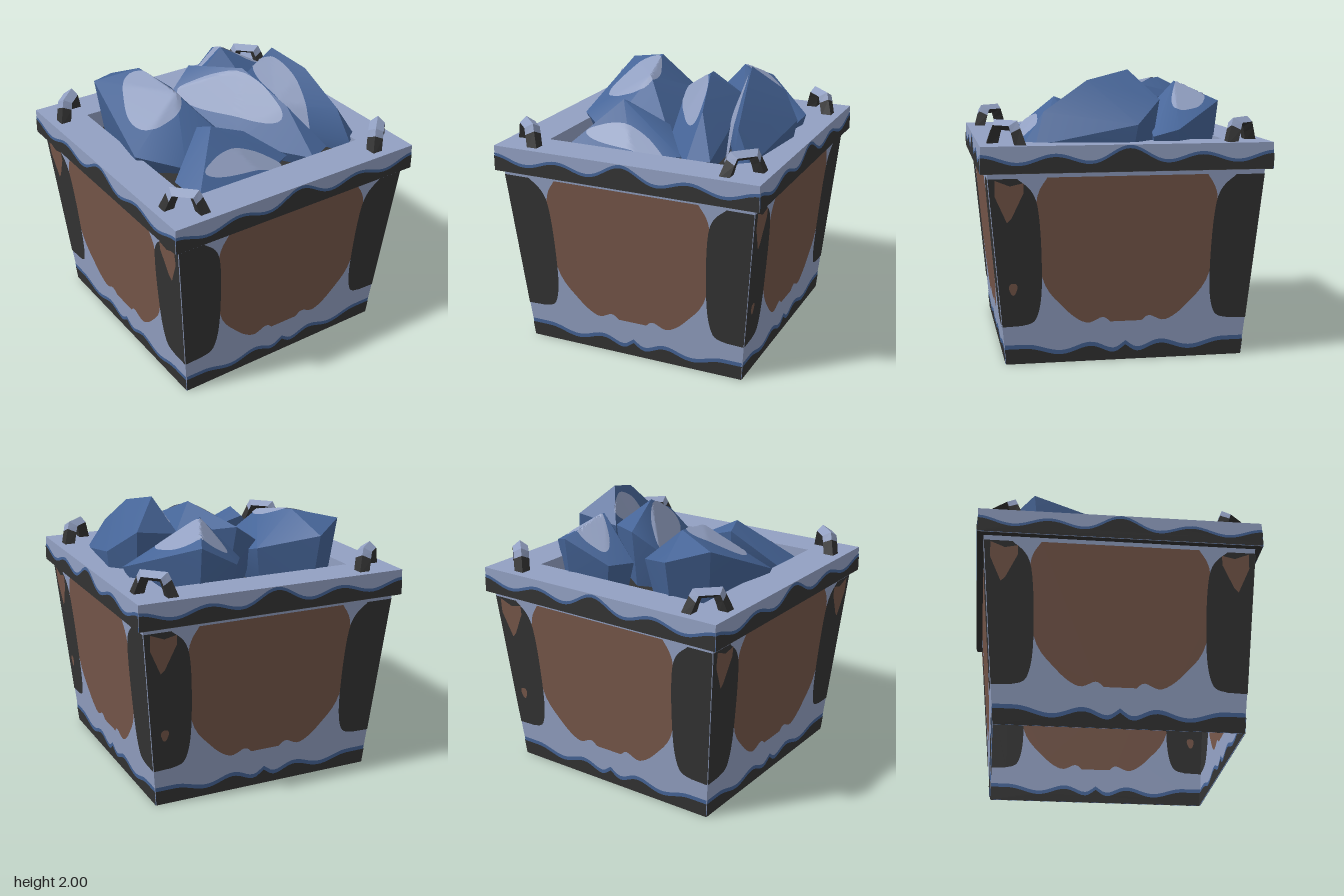
import * as THREE from 'three';
import { toCreasedNormals } from 'three/addons/utils/BufferGeometryUtils.js';
import { ConvexGeometry } from 'three/addons/geometries/ConvexGeometry.js';

const paint = (name, color) => new THREE.MeshStandardMaterial({ name, color, side: THREE.DoubleSide });
const paleBlue = paint('paleBlue', 0x92a0c2);
const blue = paint('blue', 0x466598);
const dark = paint('darkIron', 0x333333);
const rust = paint('rustBrown', 0x76574a);

const RIM = 0.995, HOLE = 0.71, RIM_LOW = 1.34, RIM_TOP = 1.52;
const wallHalf = (y) => 0.83 + 0.0896 * y; // walls lean outward
const rimHalf = () => RIM;

function addMesh(parent, name, geometry, material) {
  const mesh = new THREE.Mesh(geometry, material);
  mesh.name = name;
  parent.add(mesh);
}

const toShape = (pts) => new THREE.Shape(pts.map(([x, y]) => new THREE.Vector2(x, y)));
const mirror = (pts) => pts.map(([x, y]) => [-x, y]);
const square = (h) => [[-h, -h], [h, -h], [h, h], [-h, h]];

// Rounds a few points into a smooth open line
const smooth = (pts) => new THREE.SplineCurve(pts.map(([x, y]) => new THREE.Vector2(x, y)))
  .getPoints(30).map((p) => [p.x, p.y]);

// Tilted oval with a slight wobble
const blob = (cx, cy, rx, ry, angle = 0) => Array.from({ length: 40 }, (_, i) => {
  const t = i / 40 * Math.PI * 2, w = 1 + 0.1 * Math.sin(3 * t);
  const x = rx * w * Math.cos(t), y = ry * w * Math.sin(t);
  return [cx + x * Math.cos(angle) - y * Math.sin(angle), cy + x * Math.sin(angle) + y * Math.cos(angle)];
});

// Flat outline laid on a leaning side
function plate(parent, name, pts, material, half, lift) {
  const g = new THREE.ShapeGeometry(toShape(pts));
  const p = g.attributes.position;
  for (let i = 0; i < p.count; i++) p.setZ(i, half(p.getY(i)) + lift);
  g.computeVertexNormals();
  addMesh(parent, name, g, material);
}

// Band from a straight lower edge up to a wavy edge
function band(wave, half, low, rise) {
  const width = half(low + 0.1), steps = 60, pts = [[-half(low), low]];
  for (let i = 0; i <= steps; i++) {
    const u = width * (2 * i / steps - 1);
    pts.push([u, wave(u) + rise]);
  }
  return [...pts, [half(low), low]];
}
const footWave = (u) => 0.083 + 0.025 * Math.cos(4 * Math.PI * Math.min(1, Math.abs(u) / 0.7) ** 0.67);
const rimWave = (u) => 1.418 + 0.028 * Math.cos(4 * Math.PI * u) + 0.05 * Math.exp(-((u / 0.17) ** 2));

const panelHalf = smooth([[-0.55, 1.305], [-0.625, 1.12], [-0.585, 0.62], [-0.43, 0.39], [-0.28, 0.28],
  [-0.165, 0.315], [-0.11, 0.28]]);
const panel = [...panelHalf, ...mirror(panelHalf).reverse()];
const corner = [[-0.946, 1.3], ...smooth([[-0.75, 1.3], [-0.62, 1.13], [-0.585, 0.6], [-0.62, 0.33], [-0.72, 0.275]]),
  [-0.854, 0.27]];
const rustPatch = [[-0.9, 1.29], [-0.8, 1.25], [-0.71, 1.27], [-0.71, 1.2], [-0.79, 1.03], [-0.82, 1], [-0.9, 1.18]];

function buildSide(index) {
  const side = new THREE.Group();
  side.name = 'crateSide';
  side.rotation.y = index * Math.PI / 2;
  const bottom = wallHalf(0), top = wallHalf(RIM_LOW);
  plate(side, 'wall', [[-bottom, 0], [bottom, 0], [top, RIM_LOW], [-top, RIM_LOW]], paleBlue, wallHalf, 0);
  // Paint on the outer and inner face of the wall
  for (const s of [1, -1]) {
    const put = (name, pts, material, lift) => plate(side, name, pts, material, wallHalf, s * lift);
    put('footTrim', band(footWave, wallHalf, 0, 0.03), blue, 0.002);
    put('footBand', band(footWave, wallHalf, 0, 0), dark, 0.004);
    put('sidePanel', panel, rust, 0.003);
    put('cornerPlate', corner, dark, 0.004);
    put('cornerPlate', mirror(corner), dark, 0.004);
    if (index > 0) put('rustPatch', rustPatch, rust, 0.006);
    if (index === 3) put('rustPatch', mirror(rustPatch), rust, 0.006);
    if (index === 1 || index === 2) put('rustSpot', blob(-0.78, 0.54, 0.028, 0.042), rust, 0.006);
  }
  plate(side, 'rimTrim', band(rimWave, rimHalf, RIM_LOW, 0.022), blue, rimHalf, 0.002);
  plate(side, 'rimBand', band(rimWave, rimHalf, RIM_LOW, 0), dark, rimHalf, 0.004);
  return side;
}

function buildRim() {
  const rim = new THREE.Group();
  rim.name = 'rim';
  const frame = toShape(square(RIM));
  frame.holes.push(toShape(square(HOLE)));
  const body = new THREE.ExtrudeGeometry(frame, { depth: RIM_TOP - RIM_LOW, bevelEnabled: false });
  addMesh(rim, 'rimFrame', body.rotateX(-Math.PI / 2).translate(0, RIM_LOW, 0), paleBlue);
  const under = new THREE.ShapeGeometry(frame).rotateX(Math.PI / 2);
  addMesh(rim, 'rimUnderside', under.translate(0, RIM_LOW - 0.003, 0), dark);
  const floor = new THREE.PlaneGeometry(2 * HOLE, 2 * HOLE).rotateX(-Math.PI / 2);
  addMesh(rim, 'innerFloor', floor.translate(0, 1.38, 0), dark);
  return rim;
}

// Staple-shaped handle with a diamond section: outer edge, two flanks, inner edge
function buildHandle() {
  const half = [[0.185, 1.5, 0.075, 1.5], [0.125, 1.63, 0.055, 1.57], [0.1, 1.68, 0.04, 1.61]];
  const path = [...half.map(([a, b, c, d]) => [-a, b, -c, d]), ...half.reverse()];
  const rings = path.map(([os, oy, is, iy]) => {
    const ms = (os + is) / 2, my = (oy + iy) / 2;
    return [[os, oy, 0], [ms, my, 0.055], [is, iy, 0], [ms, my, -0.055]];
  });
  const top = [], legs = [];
  for (let i = 0; i < rings.length - 1; i++) {
    for (let j = 0; j < 4; j++) {
      const k = (j + 1) % 4, a = rings[i][j], b = rings[i][k], c = rings[i + 1][k], d = rings[i + 1][j];
      const isTop = (j === 0 || j === 3) && i > 0 && i < 4;
      (isTop ? top : legs).push(...a, ...b, ...c, ...a, ...c, ...d);
    }
  }
  const handle = new THREE.Group();
  handle.name = 'cornerHandle';
  for (const [name, corners, material] of [['handleTop', top, paleBlue], ['handleLegs', legs, dark]]) {
    const g = new THREE.BufferGeometry();
    g.setAttribute('position', new THREE.Float32BufferAttribute(corners, 3));
    g.computeVertexNormals();
    addMesh(handle, name, g, material);
  }
  return handle;
}

// Rock: convex hull of its points and a smaller base, with a pale patch hugging the upper surface
function buildRock(points, patch) {
  const rock = new THREE.Group();
  rock.name = 'oreRock';
  const pts = points.map((p) => new THREE.Vector3(...p));
  const mid = pts.reduce((sum, p) => sum.add(p), new THREE.Vector3()).divideScalar(pts.length);
  const base = pts.map((p) => p.clone().lerp(mid, 0.15).setY(1.39));
  const hull = new ConvexGeometry([...pts, ...base]);
  const pos = hull.attributes.position, tri = new THREE.Triangle(), planes = [];
  for (let i = 0; i < pos.count; i += 3) {
    tri.setFromAttributeAndIndices(pos, i, i + 1, i + 2);
    const n = tri.getNormal(new THREE.Vector3());
    if (n.y > 0.05) planes.push([n, n.dot(tri.a)]);
  }
  const height = (x, z) => Math.max(1.42, Math.min(...planes.map(([n, d]) => (d - n.x * x - n.z * z) / n.y)));
  addMesh(rock, 'rockBody', toCreasedNormals(hull, 0.55), blue);

  // Patch as rings growing from its centre
  const [cx, cz, ...size] = patch, edge = blob(cx, cz, ...size);
  const rings = 14, count = edge.length, v = [], index = [];
  for (let r = 0; r <= rings; r++) {
    edge.forEach(([ex, ez], i) => {
      const x = cx + (ex - cx) * r / rings, z = cz + (ez - cz) * r / rings;
      v.push(x, height(x, z) + 0.008, z);
      const j = (i + 1) % count, o = r * count, q = o + count;
      if (r < rings) index.push(o + i, o + j, q + i, o + j, q + j, q + i);
    });
  }
  const g = new THREE.BufferGeometry();
  g.setAttribute('position', new THREE.Float32BufferAttribute(v, 3));
  g.setIndex(index);
  addMesh(rock, 'rockPatch', toCreasedNormals(g, 0.4), paleBlue);
  return rock;
}

function buildRocks() {
  const pile = new THREE.Group();
  pile.name = 'rockPile';
  pile.add(
    // big left rock
    buildRock([[-0.45, 1.77, -0.78], [-0.09, 1.66, -0.52], [0, 1.46, 0.2], [-0.48, 1.47, 0.31], [-0.76, 1.55, 0.09],
      [-0.69, 1.84, -0.6], [-0.38, 1.91, -0.48], [-0.3, 1.84, -0.1]], [-0.46, -0.2, 0.19, 0.25]),
    // back right rock
    buildRock([[0.03, 1.6, -0.49], [0.13, 1.6, -0.65], [0.44, 1.77, -0.75], [0.84, 1.6, -0.37], [0.8, 1.55, -0.2],
      [0.39, 1.7, -0.23], [0.32, 1.91, -0.45]], [0.42, -0.53, 0.24, 0.11, 0.4]),
    // long middle rock
    buildRock([[-0.14, 1.69, -0.41], [0.05, 1.82, -0.48], [0.4, 1.75, -0.21], [0.47, 1.6, 0.24], [0.5, 1.5, 0.64],
      [0.34, 1.48, 0.7], [0, 1.48, 0.2], [0.22, 1.93, -0.02], [0.33, 1.76, 0.38]], [0.1, 0, 0.42, 0.09, 1.09]),
    // low front rock
    buildRock([[-0.63, 1.46, 0.4], [-0.33, 1.72, 0.22], [0.03, 1.6, 0.27], [0.23, 1.46, 0.53], [-0.08, 1.46, 0.67],
      [-0.62, 1.45, 0.69], [-0.3, 1.77, 0.35]], [-0.18, 0.57, 0.3, 0.07, 0.05]),
    // tall right rock
    buildRock([[0.39, 1.75, -0.23], [0.71, 1.8, -0.26], [0.87, 1.64, -0.08], [0.78, 1.5, 0.61], [0.68, 1.5, 0.68],
      [0.42, 1.62, 0.1], [0.52, 2, -0.07], [0.6, 1.93, 0.23], [0.66, 1.72, 0.54]], [0.49, 0.12, 0.3, 0.045, 1.42]),
  );
  return pile;
}

export function createModel() {
  const model = new THREE.Group();
  model.name = 'oreCrate';
  for (let i = 0; i < 4; i++) {
    model.add(buildSide(i));
    // One handle across each corner of the rim
    const pivot = new THREE.Group();
    pivot.name = 'handlePivot';
    pivot.rotation.y = Math.PI / 4 + i * Math.PI / 2;
    const handle = buildHandle();
    handle.position.z = 0.81 * Math.SQRT2;
    pivot.add(handle);
    model.add(pivot);
  }
  model.add(buildRim(), buildRocks());
  return model;
}
